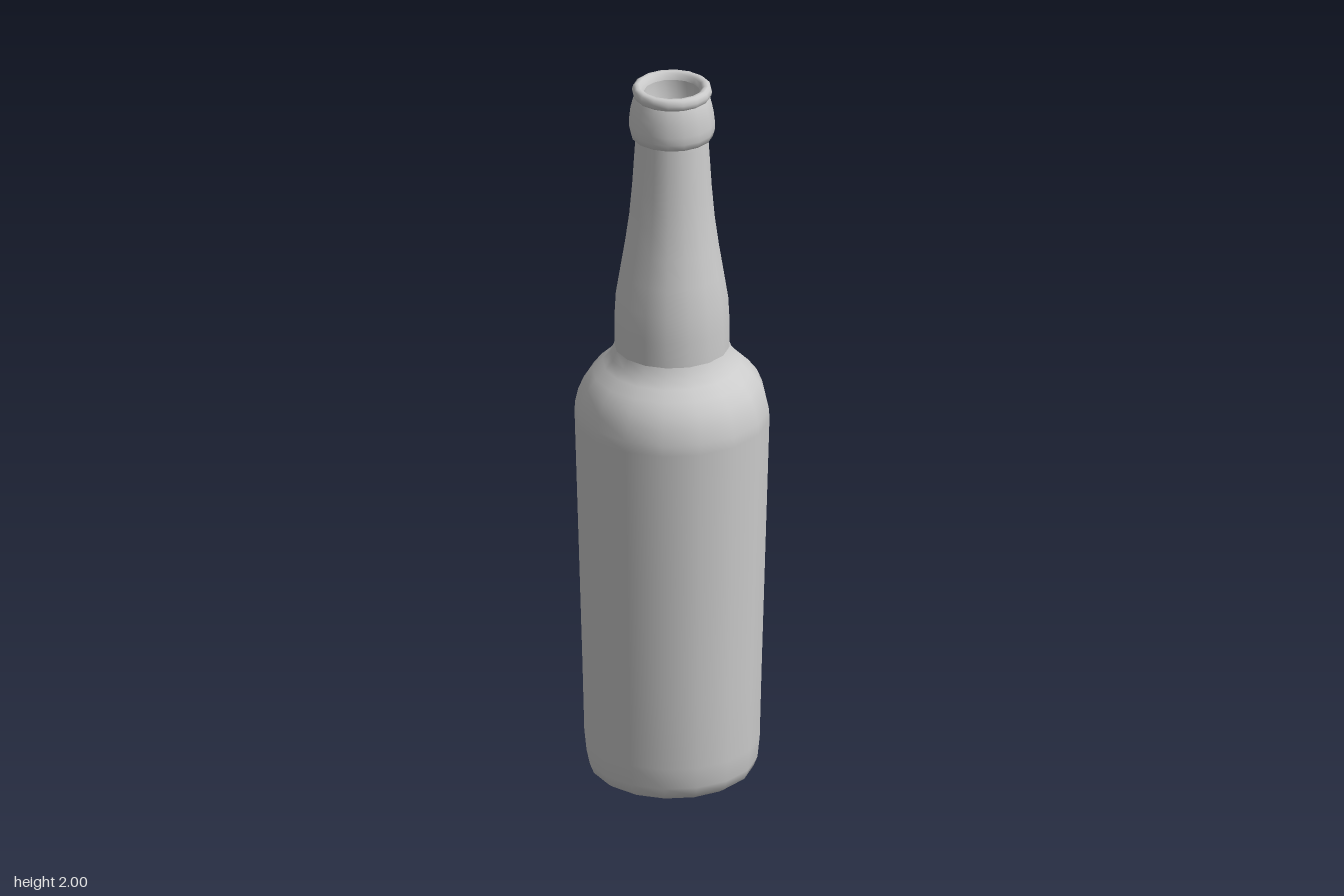
import * as THREE from 'three';

const SIDES = 16;

export function createModel() {
  const group = new THREE.Group();
  const material = new THREE.MeshStandardMaterial({ color: 0xcccccc });

  // Turns a list of [radius, height] pairs around the y axis
  const turn = (name, profile) => {
    const points = profile.map(([r, y]) => new THREE.Vector2(r, y));
    const mesh = new THREE.Mesh(new THREE.LatheGeometry(points, SIDES), material);
    mesh.name = name;
    group.add(mesh);
  };

  // Flat underside
  turn('base', [[0, 0], [0.2, 0]]);

  // Rounded heel, slightly flaring body and shoulder
  turn('body', [
    [0.2, 0], [0.217, 0.012], [0.228, 0.04], [0.234, 0.1], [0.239, 0.3],
    [0.249, 0.65], [0.26, 1.03], [0.259, 1.06], [0.25, 1.1], [0.235, 1.135],
    [0.212, 1.165], [0.185, 1.19], [0.165, 1.212], [0.154, 1.24],
  ]);

  // Swelling neck narrowing to the collar
  turn('neck', [
    [0.154, 1.24], [0.154, 1.31], [0.15, 1.385], [0.138, 1.46], [0.125, 1.54],
    [0.114, 1.62], [0.106, 1.71], [0.101, 1.79], [0.097, 1.85],
  ]);

  // Collar bead below the mouth
  turn('collar', [
    [0.097, 1.85], [0.109, 1.855], [0.114, 1.873], [0.115, 1.895],
    [0.111, 1.93], [0.105, 1.955], [0.1, 1.968],
  ]);

  // Rolled lip, turning over into the bore
  turn('lip', [
    [0.1, 1.968], [0.105, 1.974], [0.107, 1.984], [0.104, 1.995], [0.097, 2],
    [0.088, 2], [0.08, 1.994], [0.075, 1.98],
  ]);

  // Inside of the mouth
  turn('bore', [[0.075, 1.98], [0.074, 1.85], [0, 1.84]]);

  return group;
}
